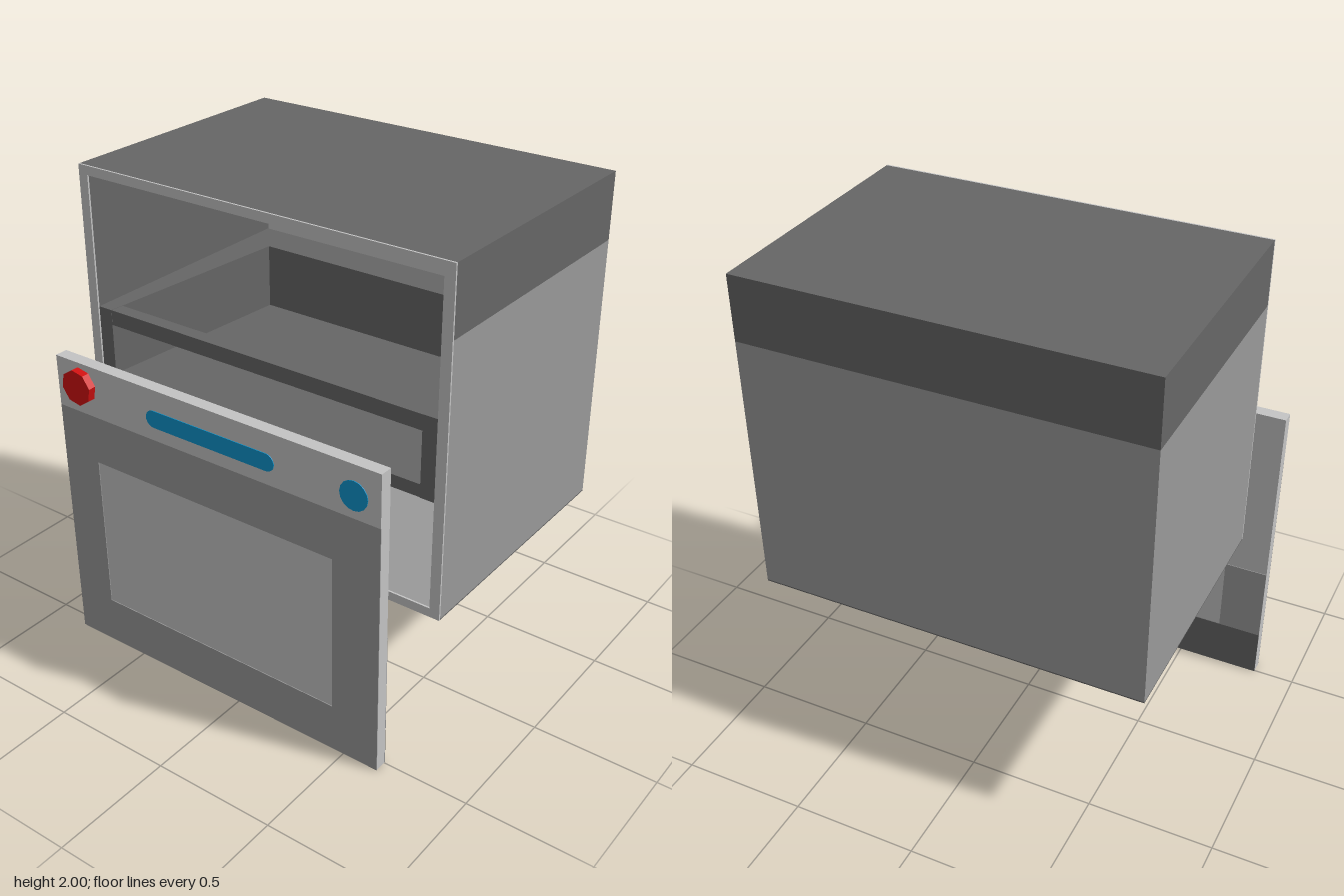
import * as THREE from 'three';

const mat = (name, hex) => {
  const m = new THREE.MeshStandardMaterial({ color: hex });
  m.name = name;
  return m;
};

export function createModel() {
  const light = mat('light grey', 0xc4c4c4);
  const mid = mat('mid grey', 0x999999);
  const dark = mat('dark grey', 0x666666);
  const red = mat('red', 0xd01010);
  const blue = mat('blue', 0x0c93cb);

  const model = new THREE.Group();

  const add = (parent, name, geometry, material) => {
    const mesh = new THREE.Mesh(geometry, material);
    mesh.name = name;
    parent.add(mesh);
    return mesh;
  };
  // Box given by its lower and upper limits on each axis
  const box = (parent, name, material, x0, x1, y0, y1, z0, z1) => {
    const g = new THREE.BoxGeometry(x1 - x0, y1 - y0, z1 - z0);
    g.translate((x0 + x1) / 2, (y0 + y1) / 2, (z0 + z1) / 2);
    return add(parent, name, g, material);
  };
  const trace = (path, points) => {
    points.forEach(([x, y], i) => (i ? path.lineTo(x, y) : path.moveTo(x, y)));
    path.closePath();
    return path;
  };
  const rect = (x0, x1, y0, y1) => [[x0, y0], [x1, y0], [x1, y1], [x0, y1]];
  // Flat frame facing z, with a rectangular opening
  const frame = (outer, inner, z, depth) => {
    const shape = trace(new THREE.Shape(), rect(...outer));
    shape.holes.push(trace(new THREE.Path(), rect(...inner)));
    return new THREE.ExtrudeGeometry(shape, { depth, bevelEnabled: false }).translate(0, 0, z);
  };

  // Cabinet shell, open at the front, with a dark upper band
  const cabinet = new THREE.Group();
  cabinet.name = 'cabinet';
  model.add(cabinet);
  const X0 = -0.73, X1 = 0.83, Y0 = 0.70, Y1 = 2.0, Z0 = -0.59, Z1 = 0.455, T = 0.035, band = 1.745;
  for (const [label, material, y0, y1] of [['lower', mid, Y0 + 0.005, band], ['upper', dark, band, Y1 - T]]) {
    box(cabinet, label + 'RightWall', material, X0, X0 + T, y0, y1, Z0, Z1);
    box(cabinet, label + 'LeftWall', material, X1 - T, X1, y0, y1, Z0, Z1);
    box(cabinet, label + 'BackWall', material, X0 + T, X1 - T, y0, y1, Z0, Z0 + T);
  }
  box(cabinet, 'roof', dark, X0, X1, Y1 - T, Y1, Z0, Z1);
  box(cabinet, 'base', dark, X0, X1, Y0, Y0 + 0.005, Z0, Z1);
  box(cabinet, 'floor', mid, X0 + T, X1 - T, Y0 + 0.005, Y0 + T, Z0 + T, Z1);
  box(cabinet, 'backLining', light, X0 + T, X1 - T, Y0 + T, Y1 - T, Z0 + T, Z0 + T + 0.005);
  box(cabinet, 'rightLining', dark, X0 + T, X0 + T + 0.005, Y0 + T, Y1 - T, Z0 + T + 0.005, Z1);
  box(cabinet, 'leftLining', dark, X1 - T - 0.005, X1 - T, Y0 + T, Y1 - T, Z0 + T + 0.005, Z1);
  add(cabinet, 'frontRim', frame([X0, X1, Y0, Y1], [-0.69, 0.79, 0.735, 1.965], Z1, 0.007), light);

  // Open tray with tapering inner sides and a wide slot in its front
  const tray = new THREE.Group();
  tray.name = 'tray';
  model.add(tray);
  const plan = trace(new THREE.Shape(), [
    [-0.69, -0.455], [-0.63, -0.455], [-0.56, 0.39], [0.66, 0.39],
    [0.73, -0.455], [0.79, -0.455], [0.79, 0.548], [-0.69, 0.548]]);
  const walls = new THREE.ExtrudeGeometry(plan, { depth: 0.31, bevelEnabled: false });
  walls.rotateX(-Math.PI / 2).translate(0, 1.15, 0);
  add(tray, 'trayWalls', walls, dark);
  box(tray, 'trayFloor', dark, -0.635, 0.735, 1.151, 1.2, -0.4, 0.454);
  box(tray, 'trayFrontBeam', dark, -0.635, 0.735, 1.4, 1.459, 0.4, 0.454);

  // Door panel standing in front, leaning very slightly
  const door = new THREE.Group();
  door.name = 'door';
  door.position.z = 0.5225;
  door.rotation.x = 0.008;
  model.add(door);
  const D0 = -0.835, D1 = 0.65, H = 0.0275;
  const pane = [-0.66, 0.45, 0.2, 0.85];
  box(door, 'doorPanel', light, D0, D1, 0, 1.26, -H + 0.003, H - 0.003);
  add(door, 'windowFrame', frame([D0, D1, 0, 1.05], pane, H - 0.003, 0.003), mid);
  box(door, 'controlStrip', light, D0, D1, 1.05, 1.26, H - 0.003, H);
  box(door, 'backLowerRail', dark, D0, D1, 0, 0.2, -H, -H + 0.003);
  box(door, 'backRightStile', mid, D0, pane[0], 0.2, 0.52, -H, -H + 0.003);
  box(door, 'backLeftStile', mid, pane[1], D1, 0.2, 0.57, -H, -H + 0.003);

  // Controls: faceted knob, rounded display bar and round button
  const knob = new THREE.CylinderGeometry(0.072, 0.072, 0.032, 8).toNonIndexed();
  knob.computeVertexNormals();
  knob.rotateX(Math.PI / 2).rotateZ(0.2).translate(-0.71, 1.17, H + 0.016);
  add(door, 'knob', knob, red);

  const bar = new THREE.Shape();
  const r = 0.035;
  bar.absarc(0.17, 1.14, r, -Math.PI / 2, Math.PI / 2, false);
  bar.absarc(-0.35, 1.14, r, Math.PI / 2, Math.PI * 1.5, false);
  const barGeo = new THREE.ExtrudeGeometry(bar, { depth: 0.003, bevelEnabled: false, curveSegments: 6 });
  add(door, 'displayBar', barGeo.translate(0, 0, H), blue);

  const button = new THREE.CylinderGeometry(0.058, 0.058, 0.003, 16);
  add(door, 'button', button.rotateX(Math.PI / 2).translate(0.54, 1.14, H + 0.0015), blue);

  return model;
}
